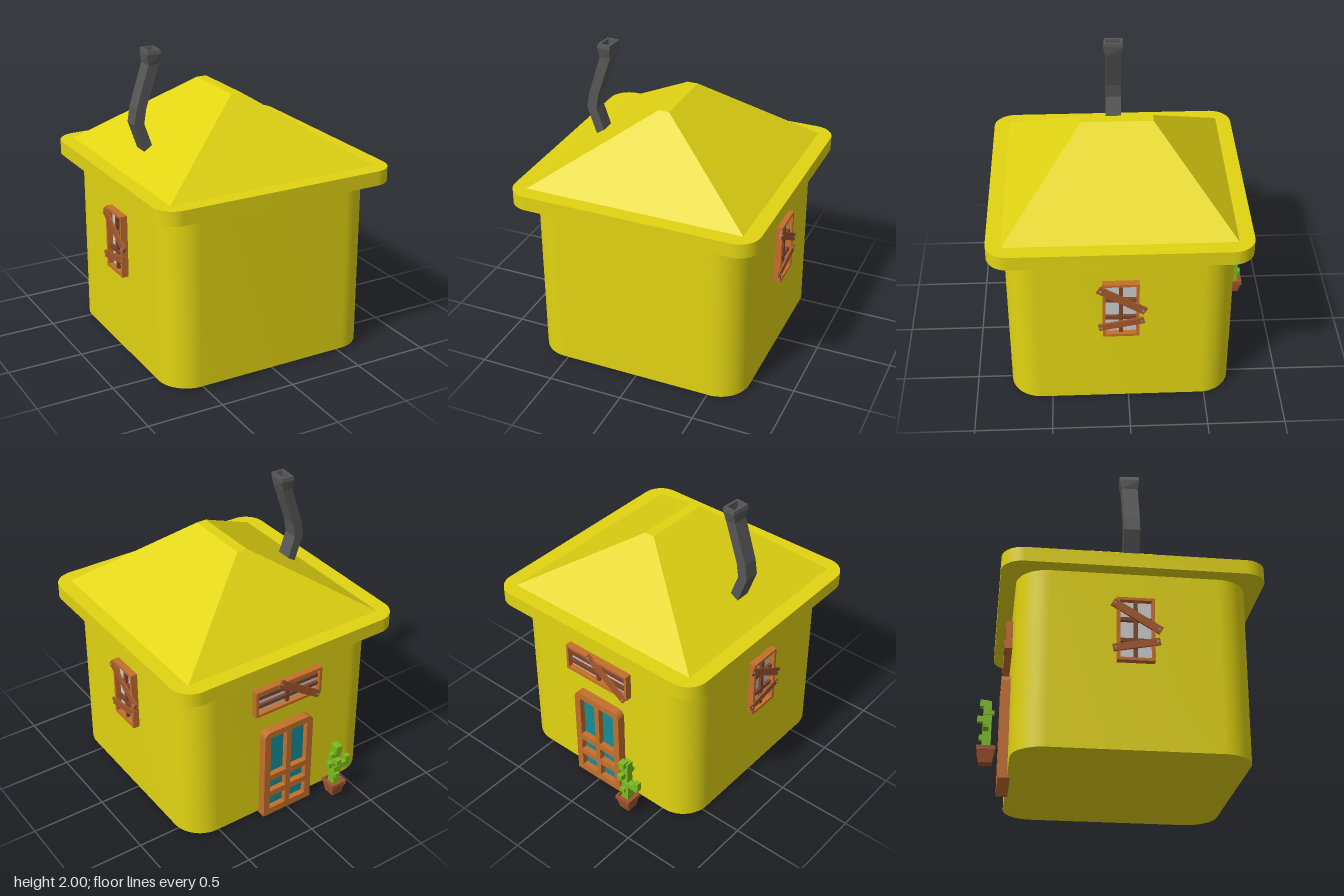
import * as THREE from 'three';
import { toCreasedNormals } from 'three/addons/utils/BufferGeometryUtils.js';

const paint = (color, flatShading = false) => new THREE.MeshStandardMaterial({ color, flatShading });
const yellow = paint(0xe2d412), wood = paint(0xc4702c), darkWood = paint(0x7e452a), plank = paint(0xa4582c),
  glass = paint(0xcccccc), teal = paint(0x148c98), iron = paint(0x575757, true), nail = paint(0x999999),
  clay = paint(0xa0552f, true), green = paint(0x7cbc1e);

function add(parent, name, geometry, material, x = 0, y = 0, z = 0) {
  const mesh = new THREE.Mesh(geometry, material);
  mesh.name = name;
  mesh.position.set(x, y, z);
  parent.add(mesh);
  return mesh;
}

const box = (parent, name, material, w, h, d, x, y, z) =>
  add(parent, name, new THREE.BoxGeometry(w, h, d), material, x, y, z);

// Rounded rectangle centred on the origin; rTop and rBottom are corner radii
function roundedRect(w, h, rTop, rBottom = rTop) {
  const s = new THREE.Shape(), x = w / 2, y = h / 2;
  s.moveTo(-x + rBottom, -y);
  s.lineTo(x - rBottom, -y);
  if (rBottom) s.absarc(x - rBottom, -y + rBottom, rBottom, -Math.PI / 2, 0);
  s.lineTo(x, y - rTop);
  if (rTop) s.absarc(x - rTop, y - rTop, rTop, 0, Math.PI / 2);
  s.lineTo(-x + rTop, y);
  if (rTop) s.absarc(-x + rTop, y - rTop, rTop, Math.PI / 2, Math.PI);
  s.lineTo(-x, -y + rBottom);
  if (rBottom) s.absarc(-x + rBottom, -y + rBottom, rBottom, Math.PI, Math.PI * 1.5);
  return s;
}

function rectHole(w, h, x = 0, y = 0) {
  const p = new THREE.Path();
  p.moveTo(x - w / 2, y - h / 2);
  p.lineTo(x - w / 2, y + h / 2);
  p.lineTo(x + w / 2, y + h / 2);
  p.lineTo(x + w / 2, y - h / 2);
  p.closePath();
  return p;
}

const extrude = (shape, depth) => toCreasedNormals(
  new THREE.ExtrudeGeometry(shape, { depth, bevelEnabled: false, curveSegments: 10 }), 0.6);

// Upright slab with rounded corners
const slab = (size, r, height) => extrude(roundedRect(size, size, r), height).rotateX(-Math.PI / 2);

// Flat-faced loft through rectangles [x, y, z, halfX, halfZ, turn], from bottom to top
function loft(sections) {
  const rings = sections.map(([x, y, z, hx, hz, turn = 0]) =>
    [[-1, 1], [1, 1], [1, -1], [-1, -1]].map(([a, b]) =>
      new THREE.Vector3(a * hx, 0, b * hz).applyAxisAngle(new THREE.Vector3(0, 1, 0), turn)
        .add(new THREE.Vector3(x, y, z))));
  const points = [];
  const quad = (a, b, c, d) => points.push(a, b, c, a, c, d);
  for (let i = 0; i + 1 < rings.length; i++)
    for (let k = 0; k < 4; k++) {
      const n = (k + 1) % 4;
      quad(rings[i][k], rings[i][n], rings[i + 1][n], rings[i + 1][k]);
    }
  const [a, b, c, d] = rings[0];
  quad(d, c, b, a);
  quad(...rings[rings.length - 1]);
  const geo = new THREE.BufferGeometry().setFromPoints(points);
  geo.computeVertexNormals();
  return geo;
}

// Boarded window facing +z; boards are [x1, y1, x2, y2, width]
function makeWindow(name, w, h, boards) {
  const g = new THREE.Group();
  g.name = name;
  const shape = roundedRect(w, h, 0), t = 0.018;
  shape.holes.push(rectHole(w - 2 * t, h - 2 * t));
  add(g, 'windowFrame', extrude(shape, 0.055), wood, 0, 0, -0.01);
  box(g, 'windowPane', glass, w - t, h - t, 0.015, 0, 0, 0);
  box(g, 'verticalBar', darkWood, 0.024, h - t, 0.025, 0, 0, 0.015);
  for (const s of [-1, 1])
    box(g, 'horizontalBar', darkWood, w - t, 0.024, 0.025, 0, s * h / 6, 0.016);
  boards.forEach(([x1, y1, x2, y2, width], i) => {
    const b = new THREE.Group();
    b.name = 'board';
    const len = Math.hypot(x2 - x1, y2 - y1);
    b.position.set((x1 + x2) / 2, (y1 + y2) / 2, 0.043 + 0.001 * i);
    b.rotation.z = Math.atan2(y2 - y1, x2 - x1);
    box(b, 'plank', plank, len + 0.03, width, 0.014, 0, 0, 0);
    for (const s of [-1, 1])
      add(b, 'nail', new THREE.CylinderGeometry(0.007, 0.007, 0.008, 8).rotateX(Math.PI / 2),
        nail, s * len / 2, 0, 0.007);
    g.add(b);
  });
  return g;
}

// Panelled door facing +z, standing on y = 0
function makeDoor() {
  const g = new THREE.Group();
  g.name = 'door';
  const shape = roundedRect(0.38, 0.685, 0.045, 0);
  const rows = [[0.05, 0.15], [0.195, 0.285], [0.33, 0.64]];
  for (const [y0, y1] of rows)
    for (const s of [-1, 1])
      shape.holes.push(rectHole(0.125, y1 - y0, s * 0.081, (y0 + y1) / 2 - 0.3425));
  add(g, 'doorFrame', extrude(shape, 0.075), wood, 0, 0.3425, -0.017);
  box(g, 'doorGlass', teal, 0.33, 0.62, 0.02, 0, 0.34, 0.01);
  return g;
}

// Potted cactus made of blocks
function makeCactus() {
  const g = new THREE.Group();
  g.name = 'pottedCactus';
  add(g, 'pot', loft([[0, 0.03, 0, 0.038, 0.038], [0, 0.105, 0, 0.052, 0.052],
    [0, 0.105, 0, 0.058, 0.058], [0, 0.132, 0, 0.058, 0.058],
    [0, 0.132, 0, 0.046, 0.046], [0, 0.118, 0, 0.045, 0.045]]), clay);
  const blocks = [ // w, h, d, x, y, z
    [0.055, 0.14, 0.055, 0, 0.19, 0], [0.045, 0.11, 0.045, 0.005, 0.305, 0.006],
    [0.05, 0.09, 0.05, -0.002, 0.385, 0], [0.045, 0.042, 0.045, 0.01, 0.42, -0.024],
    [0.08, 0.038, 0.035, -0.062, 0.25, -0.008], [0.035, 0.06, 0.035, -0.09, 0.275, -0.008],
    [0.035, 0.038, 0.04, 0.015, 0.32, -0.04], [0.04, 0.035, 0.035, 0.035, 0.27, 0.01],
    [0.03, 0.025, 0.03, -0.01, 0.355, 0.028], [0.035, 0.03, 0.04, 0.01, 0.2, -0.025],
    [0.035, 0.03, 0.03, 0.036, 0.36, -0.008]];
  for (const b of blocks) box(g, 'cactusBlock', green, ...b);
  return g;
}

export function createModel() {
  const house = new THREE.Group();
  house.name = 'house';
  const cz = 0.05;

  // Walls, eaves and hipped roof
  add(house, 'walls', slab(1.44, 0.2, 1.15), yellow, 0, 0.015, cz);
  add(house, 'eaves', slab(1.64, 0.14, 0.095), yellow, 0, 1.16, cz);
  add(house, 'roof', loft([[0, 1.255, cz, 0.72, 0.72], [0, 1.705, 0.045, 0.035, 0.23]]), yellow);

  // Crooked chimney pipe with a flared, hollow mouth
  add(house, 'chimney', loft([
    [-0.5, 1.28, cz, 0.033, 0.052], [-0.59, 1.54, cz, 0.033, 0.052],
    [-0.574, 1.64, cz, 0.033, 0.052], [-0.484, 1.91, cz, 0.036, 0.052],
    [-0.481, 1.975, cz, 0.046, 0.066, -0.08], [-0.479, 2, cz, 0.043, 0.062, -0.08],
    [-0.479, 2, cz, 0.028, 0.046, -0.08], [-0.482, 1.93, cz, 0.024, 0.04, -0.08]]), iron);

  // Side windows, each a half turn of the other
  const sideBoards = [[-0.128, 0.165, 0.14, 0, 0.05], [-0.125, -0.13, 0.13, -0.08, 0.045]];
  for (const s of [1, -1]) {
    const w = makeWindow(s > 0 ? 'leftWindow' : 'rightWindow', 0.23, 0.415, sideBoards);
    w.position.set(s * 0.72, 0.772, cz);
    w.rotation.y = s * Math.PI / 2;
    house.add(w);
  }

  // Back wall: wide window, door and plant
  const backWindow = makeWindow('backWindow', 0.51, 0.19, [[-0.06, 0.09, 0.225, -0.1, 0.05]]);
  backWindow.position.set(0, 0.932, -0.67);
  const door = makeDoor();
  door.position.set(0, 0, -0.67);
  for (const part of [backWindow, door]) {
    part.rotation.y = Math.PI;
    house.add(part);
  }
  const cactus = makeCactus();
  cactus.position.set(-0.33, 0, -0.808);
  house.add(cactus);
  return house;
}
